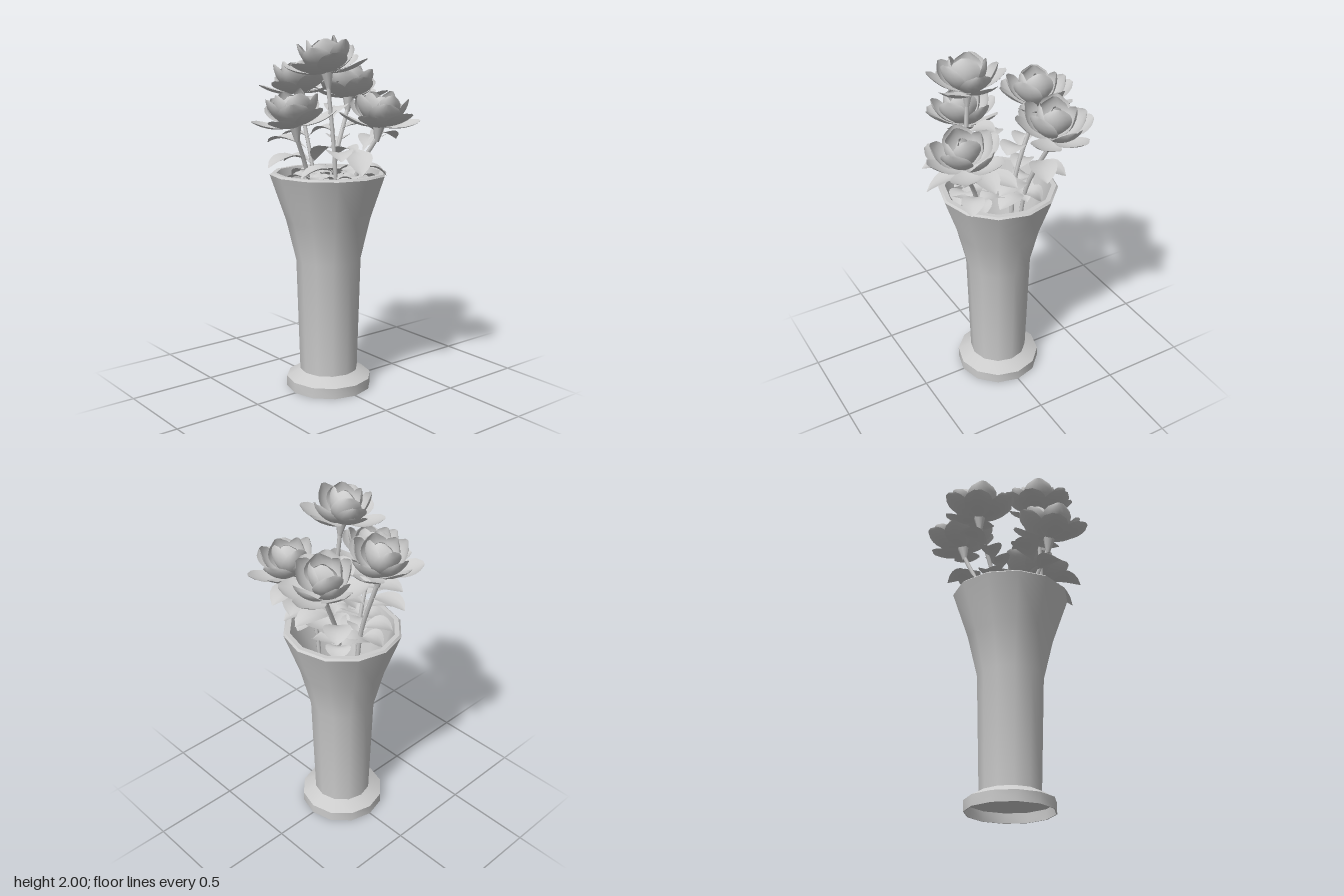
import * as THREE from 'three';
import { toCreasedNormals } from 'three/addons/utils/BufferGeometryUtils.js';

const V = (x, y, z) => new THREE.Vector3(x, y, z);
const rad = THREE.MathUtils.degToRad;
const solid = new THREE.MeshStandardMaterial({ color: 0xcccccc });
const thin = new THREE.MeshStandardMaterial({ color: 0xcccccc, side: THREE.DoubleSide });

function mesh(name, geometry, material, parent) {
  const m = new THREE.Mesh(geometry, material);
  m.name = name;
  parent.add(m);
  return m;
}

// Curved sheet swept along a centre line: frame(v) gives { p, side, normal },
// halfWidth(v) its outline, cup how far the edges rise.
function blade(frame, halfWidth, cup, rows = 8, cols = 6) {
  const pos = [], index = [];
  for (let i = 0; i <= rows; i++) {
    const v = i / rows, { p, side, normal } = frame(v), w = halfWidth(v);
    for (let j = 0; j <= cols; j++) {
      const u = (j / cols) * 2 - 1;
      const q = p.clone().addScaledVector(side, u * w).addScaledVector(normal, cup * u * u * w);
      pos.push(q.x, q.y, q.z);
      if (i < rows && j < cols) {
        const a = i * (cols + 1) + j, b = a + cols + 1;
        index.push(a, a + 1, b, b, a + 1, b + 1);
      }
    }
  }
  const g = new THREE.BufferGeometry();
  g.setAttribute('position', new THREE.Float32BufferAttribute(pos, 3));
  g.setIndex(index);
  g.computeVertexNormals();
  return g;
}

// Petal leaving the flower axis towards +z, bending from elevation e0 to e1
function petalGeometry({ length, width, e0, e1, r0, cup }) {
  const frame = (v) => {
    const p = V(0, 0, r0), n = 12;
    for (let k = 0; k < n; k++) {
      const e = rad(e0 + (e1 - e0) * v * (k + 0.5) / n);
      p.add(V(0, Math.sin(e), Math.cos(e)).multiplyScalar(length * v / n));
    }
    const e = rad(e0 + (e1 - e0) * v);
    return { p, side: V(1, 0, 0), normal: V(0, Math.cos(e), -Math.sin(e)) };
  };
  const outline = (v) => width / 2 * (v < 0.62
    ? 0.2 + 0.8 * Math.sin(v / 0.62 * Math.PI / 2)
    : Math.sqrt(1 - 0.94 * ((v - 0.62) / 0.38) ** 2));
  return blade(frame, outline, cup);
}

// Rings of petals from the open outside to the loosely closed heart
const rings = [
  { name: 'outerPetal', count: 6, length: 0.228, width: 0.16, e0: -4, e1: 42, r0: 0.012, cup: 0.22, turn: 0 },
  { name: 'middlePetal', count: 5, length: 0.225, width: 0.17, e0: 5, e1: 80, r0: 0.012, cup: 0.35, turn: 25 },
  { name: 'innerPetal', count: 4, length: 0.215, width: 0.16, e0: 25, e1: 108, r0: 0.01, cup: 0.4, turn: 50 },
  { name: 'heartPetal', count: 2, length: 0.18, width: 0.13, e0: 45, e1: 128, r0: 0.008, cup: 0.3, turn: 10 },
].map((r) => ({ ...r, geometry: petalGeometry(r) }));

function flowerHead(turn) {
  const head = new THREE.Group();
  head.name = 'flowerHead';
  for (const r of rings) {
    for (let i = 0; i < r.count; i++) {
      const p = mesh(r.name, r.geometry, thin, head);
      p.rotation.set(0, rad(turn + r.turn + i * 360 / r.count), 0);
      p.rotateX(rad([0, -9, 5][i % 3]));
    }
  }
  // Calyx under the petals
  mesh('calyx', new THREE.CylinderGeometry(0.034, 0.012, 0.09, 8), solid, head).position.y = -0.038;
  return head;
}

// Arched, drooping leaf between two points
function leaf(from, to, width, parent) {
  const a = V(...from), b = V(...to);
  const mid = a.clone().lerp(b, 0.55).add(V(0, 0.07, 0));
  const curve = new THREE.QuadraticBezierCurve3(a, mid, b);
  const side = V(0, 1, 0).cross(b.clone().sub(a)).normalize();
  const frame = (v) => ({ p: curve.getPoint(v), side, normal: curve.getTangent(v).cross(side).normalize() });
  const outline = (v) => 0.003 + width / 2 * Math.sin(Math.PI * Math.max(0, v - 0.1) / 0.9) ** 0.8;
  mesh('leaf', blade(frame, outline, 0.25, 8, 4), thin, parent);
}

export function createModel() {
  const model = new THREE.Group();
  model.name = 'vaseWithFlowers';

  // Vase: hollow stepped foot, flared body, rim and inner wall, open below
  const profile = [
    [0.148, 0.1], [0.165, 0.094], [0.237, 0.055], [0.239, 0], [0.244, 0], [0.244, 0.06],
    [0.17, 0.1], [0.166, 0.102], [0.185, 0.75], [0.24, 0.98], [0.329, 1.24], [0.318, 1.25],
    [0.292, 1.25], [0.218, 0.98], [0.165, 0.75], [0.148, 0.1],
  ].map(([x, y]) => new THREE.Vector2(x, y));
  mesh('vase', toCreasedNormals(new THREE.LatheGeometry(profile, 12), 0.6), solid, model);

  // Flowers: head position, stem position at the mouth, facing, turn
  const flowers = [
    { head: [0.125, 1.8, 0.11], mouth: [0.16, 0.08], axis: [-0.05, 1, 0.1], turn: 7 },
    { head: [-0.24, 1.675, 0.02], mouth: [-0.12, 0.02], axis: [-0.06, 1, 0.02], turn: 22 },
    { head: [-0.155, 1.64, -0.27], mouth: [-0.1, -0.12], axis: [-0.06, 1, -0.14], turn: 15 },
    { head: [0.27, 1.515, -0.13], mouth: [0.17, -0.06], axis: [0.12, 1, -0.06], turn: 34 },
    { head: [0.065, 1.525, 0.275], mouth: [0.03, 0.17], axis: [0, 1, 0.15], turn: 30 },
  ];
  flowers.forEach((f, n) => {
    const flower = new THREE.Group();
    flower.name = 'flower';
    model.add(flower);
    const axis = V(...f.axis).normalize(), top = V(...f.head), [mx, mz] = f.mouth;
    const head = flowerHead(f.turn);
    head.position.copy(top);
    head.quaternion.setFromUnitVectors(V(0, 1, 0), axis);
    flower.add(head);
    const path = new THREE.CatmullRomCurve3([
      V(mx * 0.5, 0.5, mz * 0.5), V(mx * 0.75, 0.85, mz * 0.75), V(mx, 1.25, mz),
      top.clone().addScaledVector(axis, -0.06)]);
    mesh('stem', new THREE.TubeGeometry(path, 16, 0.012, 6), solid, flower);
    // Low leaves filling the mouth of the vase
    for (let i = 0; i < 3; i++) {
      const yaw = rad(n * 50 + i * 120);
      const tip = V(mx + 0.18 * Math.sin(yaw), 0, mz + 0.18 * Math.cos(yaw)).clampLength(0, 0.25);
      leaf([mx, 1.22, mz], [tip.x, 1.2, tip.z], 0.13, flower);
    }
  });

  // Leaves: start, tip, width
  const leaves = [
    [[-0.17, 1.49, 0.02], [-0.4, 1.51, 0.05], 0.12],
    [[0.2, 1.38, -0.02], [0.39, 1.28, 0.09], 0.14],
    [[0.17, 1.36, 0.08], [0.36, 1.36, 0.2], 0.14],
    [[0.04, 1.34, 0.19], [0.02, 1.31, 0.42], 0.13],
    [[0.03, 1.4, 0.18], [-0.17, 1.42, 0.29], 0.15],
    [[-0.13, 1.46, -0.18], [-0.06, 1.45, -0.39], 0.14],
    [[0.2, 1.38, -0.08], [0.07, 1.42, -0.31], 0.15],
    [[-0.11, 1.3, -0.14], [0.09, 1.3, -0.17], 0.15],
    [[-0.12, 1.28, 0.02], [-0.26, 1.29, 0.12], 0.13],
    [[0.16, 1.4, 0.08], [0.0, 1.32, 0.1], 0.14],
    [[0.16, 1.27, 0.08], [0.09, 1.24, 0.26], 0.13],
    [[0.18, 1.27, -0.07], [0.27, 1.24, -0.19], 0.12],
    [[-0.12, 1.38, -0.15], [-0.25, 1.38, -0.28], 0.14],
    [[-0.15, 1.44, 0.02], [-0.02, 1.46, -0.06], 0.14],
    [[0.15, 1.56, 0.09], [0.04, 1.6, -0.04], 0.13],
    [[0.22, 1.44, -0.1], [0.2, 1.43, -0.32], 0.14],
    [[0.18, 1.36, -0.07], [0.01, 1.34, -0.05], 0.14],
    [[-0.14, 1.42, 0.02], [-0.26, 1.43, 0.14], 0.12],
  ];
  for (const [from, to, width] of leaves) leaf(from, to, width, model);

  return model;
}
